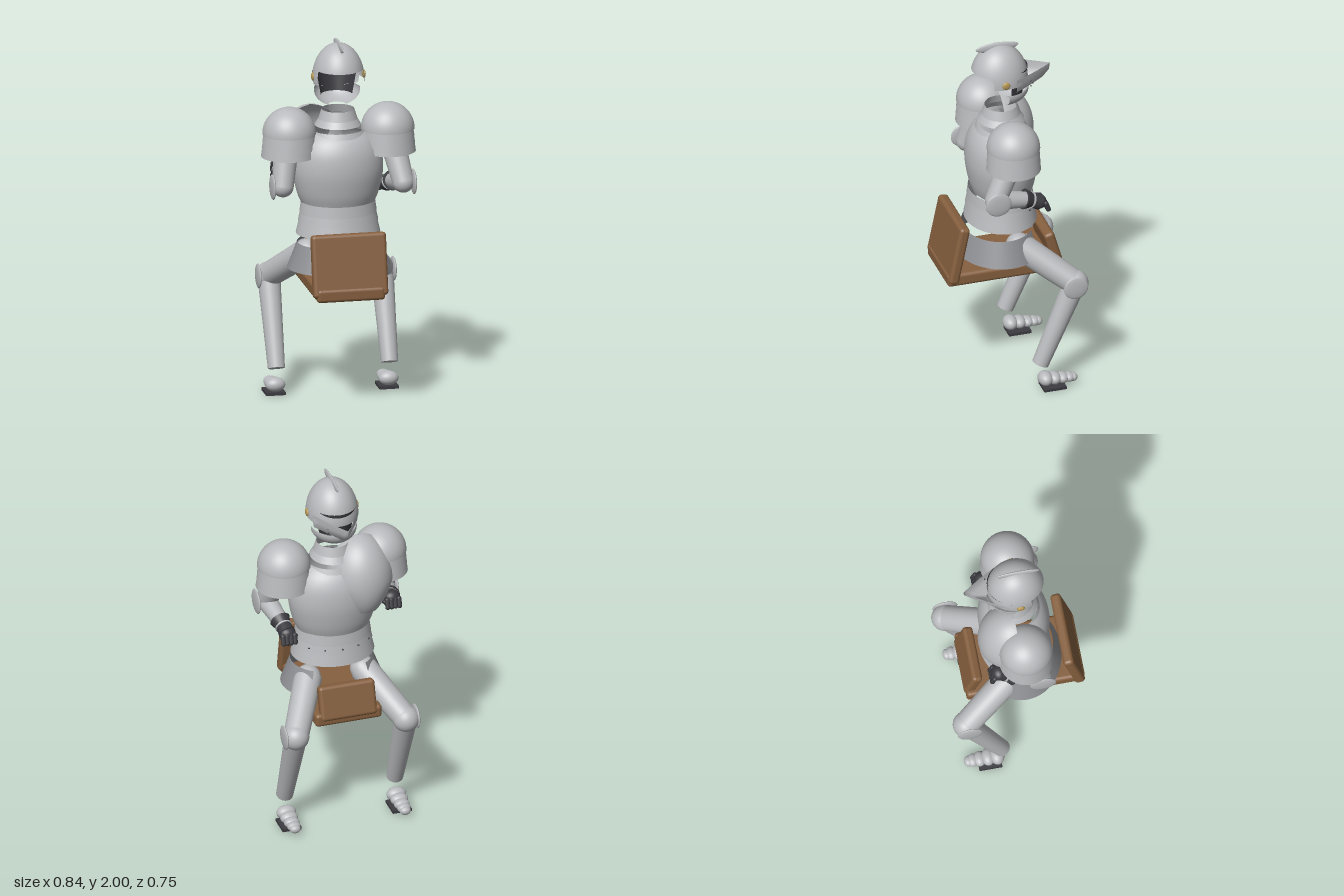
import * as THREE from 'three';
import { RoundedBoxGeometry } from 'three/addons/geometries/RoundedBoxGeometry.js';

const D = THREE.DoubleSide;
const mat = (name, color, side = THREE.FrontSide) => {
  const m = new THREE.MeshStandardMaterial({ color, side });
  m.name = name;
  return m;
};
const V = (x, y, z) => new THREE.Vector3(x, y, z);

export function createModel() {
  const root = new THREE.Group();
  root.name = 'seatedArmour';
  const steel = mat('steel', 0xb9babd, D);
  const dullSteel = mat('dullSteel', 0x8f9094, D);
  const dark = mat('darkIron', 0x3c3c41, D);
  const leather = mat('brownLeather', 0x86603f);
  const brass = mat('brass', 0xb89a58);

  const add = (name, geo, m, x = 0, y = 0, z = 0, parent = root) => {
    const mesh = new THREE.Mesh(geo, m);
    mesh.name = name;
    mesh.position.set(x, y, z);
    parent.add(mesh);
    return mesh;
  };
  const ball = (name, m, x, y, z, rx, ry = rx, rz = rx) =>
    add(name, new THREE.SphereGeometry(1, 32, 20).scale(rx, ry, rz), m, x, y, z);
  // Tapered limb between two points
  const limb = (name, a, b, ra, rb, m) => {
    const mesh = add(name, new THREE.CylinderGeometry(rb, ra, a.distanceTo(b), 32), m);
    mesh.position.copy(a).add(b).multiplyScalar(0.5);
    mesh.quaternion.setFromUnitVectors(V(0, 1, 0), b.clone().sub(a).normalize());
    return mesh;
  };
  // Open oval band; profile is a list of [radius, y], depth scales z
  const band = (name, profile, depth, z, m = steel, x = 0, start = 0, sweep = Math.PI * 2) =>
    add(name, new THREE.LatheGeometry(profile.map(p => new THREE.Vector2(...p)), 56, start, sweep)
      .scale(1, 1, depth), m, x, 0, z);

  // Helmet: crown, rear skirt open at the face, crest and pivots
  const crown = 1.26, gap = 1.15;
  add('helmetCrown', new THREE.SphereGeometry(1, 48, 20, 0, Math.PI * 2, 0, crown)
    .scale(0.14, 0.197, 0.157), steel, 0, 1.787, 0.032);
  add('helmetRear', new THREE.SphereGeometry(1, 48, 8, -Math.PI / 2 + gap, Math.PI * 2 - 2 * gap, crown, 1.61 - crown)
    .scale(0.14, 0.197, 0.157).rotateY(Math.PI), steel, 0, 1.787, 0.032)
    .geometry.rotateY(0);
  ball('helmetCrest', steel, 0, 1.972, 0.042, 0.01, 0.028, 0.12);
  for (const s of [-1, 1]) ball('visorPivot', brass, s * 0.14, 1.806, 0.034, 0.009, 0.022, 0.022);

  // Dark lining behind the eye slot
  add('faceLining', new THREE.CylinderGeometry(0.115, 0.085, 0.165, 32, 1, true, Math.PI / 2, Math.PI), dark, 0, 1.768, -0.01);

  // Pointed visor built from cross-sections [y, half width, tip z]
  const rows = [[1.822, 0.13, -0.255], [1.785, 0.128, -0.25], [1.745, 0.122, -0.215], [1.7, 0.105, -0.13]];
  const n = 24, pos = [], idx = [];
  rows.forEach(([y, w, tip], r) => {
    for (let i = 0; i <= n; i++) {
      const t = i / n * 2 - 1, a = Math.abs(t);
      pos.push(t * w, y + (r === 3 ? a * 0.035 : 0), tip + (-0.03 - tip) * (0.85 * a + 0.15 * a * a));
      if (r && i) {
        const k = r * (n + 1) + i;
        idx.push(k, k - 1, k - n - 2, k, k - n - 2, k - n - 1);
      }
    }
  });
  const visor = new THREE.BufferGeometry();
  visor.setAttribute('position', new THREE.Float32BufferAttribute(pos, 3));
  visor.setIndex(idx);
  visor.computeVertexNormals();
  add('visor', visor, steel);
  for (let i = 0; i < 3; i++) ball('breathHole', dark, 0.073, 1.775 - i * 0.016, -0.125 - (i % 2) * 0.012, 0.004);

  // Chin guard: lower front bowl
  add('chinGuard', new THREE.SphereGeometry(1, 40, 16, 0, Math.PI, 1.45, 1.3)
    .rotateY(Math.PI).scale(0.125, 0.088, 0.14), steel, 0, 1.718, 0.01);

  // Gorget rings
  band('gorgetTop', [[0.105, 1.565], [0.088, 1.617]], 1, 0.02);
  band('gorgetMiddle', [[0.125, 1.53], [0.1, 1.57]], 1, 0.02);
  band('gorgetBase', [[0.155, 1.475], [0.14, 1.505]], 0.9, 0.02);

  // Cuirass and waist lames
  const cuirass = new THREE.SplineCurve([[0.2, 1.105], [0.225, 1.17], [0.245, 1.28], [0.235, 1.38], [0.2, 1.45], [0.15, 1.495]]
    .map(p => new THREE.Vector2(...p))).getPoints(24).map(p => [p.x, p.y]);
  band('cuirass', cuirass, 0.78, 0.02);
  [[1.112, 1.05, 0.2, 0.209], [1.055, 1, 0.205, 0.217], [1.005, 0.935, 0.211, 0.228]].forEach(([t, b, rt, rb]) =>
    band('waistLame', [[rb, b], [rt, t]], 0.85, 0.025));
  for (let i = -2; i <= 2; i++) {
    const a = i * 0.45;
    ball('rivet', dark, 0.215 * Math.sin(a), 1.03, 0.025 - 0.183 * Math.cos(a), 0.005);
  }

  // Hip skirt, open at the front
  band('hipSkirt', [[0.278, 0.75], [0.225, 0.89]], 0.84, 0.042, dullSteel, 0, Math.PI + 0.7, Math.PI * 2 - 1.4);

  // Large chest guard on one side
  const guard = new THREE.SphereGeometry(1, 40, 32, 0, Math.PI, 0.08, 2.2).rotateY(Math.PI);
  const gp = guard.attributes.position;
  for (let i = 0; i < gp.count; i++) {
    // narrow the lower part into a shield outline
    const y = gp.getY(i);
    if (y < 0) gp.setX(i, gp.getX(i) * (1 + 0.35 * y));
  }
  guard.scale(0.185, 0.25, 0.2);
  guard.computeVertexNormals();
  add('chestGuard', guard, steel, -0.14, 1.39, 0);

  // Arms; each side has its own pose
  const arms = [
    [1, V(0.33, 1.225, 0.155), V(0.305, 1.185, -0.025), V(0.295, 1.155, -0.1)],
    [-1, V(-0.32, 1.225, 0.11), V(-0.3, 1.25, -0.05), V(-0.287, 1.285, -0.115)],
  ];
  for (const [s, elbow, wrist, hand] of arms) {
    const x = s * 0.27;
    add('shoulderDome', new THREE.SphereGeometry(0.144, 40, 20, 0, Math.PI * 2, 0, Math.PI / 2), steel, x, 1.497, 0.036);
    for (let i = 0; i < 3; i++) {
      const y = 1.5 - i * 0.042;
      band('shoulderLame', [[0.143 + i * 0.002, y - 0.042], [0.137 + i * 0.002, y]], 1, 0.036, steel, x + s * i * 0.002);
    }
    limb('upperArm', V(s * 0.285, 1.46, 0.04), elbow, 0.07, 0.058, steel);
    ball('elbow', steel, elbow.x, elbow.y, elbow.z, 0.058);
    ball('elbowDisc', steel, elbow.x + s * 0.056, elbow.y, elbow.z, 0.012, 0.068, 0.072);
    limb('forearm', elbow, wrist, 0.056, 0.042, steel);
    const dir = hand.clone().sub(wrist).normalize();
    limb('gauntletCuff', wrist.clone().addScaledVector(dir, -0.015), wrist.clone().addScaledVector(dir, 0.03), 0.056, 0.04, dark);
    limb('wristRing', wrist.clone().addScaledVector(dir, 0.027), wrist.clone().addScaledVector(dir, 0.036), 0.046, 0.046, steel);
    limb('gauntletBack', wrist.clone().addScaledVector(dir, 0.03), hand, 0.04, 0.046, dark);
    ball('knuckles', dark, hand.x, hand.y, hand.z, 0.046, 0.038, 0.04);
    // Curled fingers
    for (let i = 0; i < 4; i++) {
      const finger = add('finger', new THREE.CapsuleGeometry(0.014, 0.04, 4, 12), dark,
        hand.x - 0.033 + i * 0.022, hand.y - 0.02, hand.z - 0.035);
      finger.rotation.x = 0.35;
    }
    limb('thumb', hand, V(hand.x - s * 0.05, hand.y - 0.02, hand.z - 0.02), 0.018, 0.013, dark);
  }

  // Legs, feet and stirrup plates
  for (const s of [-1, 1]) {
    const hip = V(s * 0.155, 0.815, -0.03), knee = V(s * 0.31, 0.622, -0.298), ankle = V(s * 0.31, 0.155, -0.103);
    ball('hipJoint', steel, hip.x, hip.y, hip.z, 0.07);
    limb('thigh', hip, knee, 0.076, 0.068, steel);
    ball('knee', steel, knee.x, knee.y, knee.z, 0.072);
    ball('kneeDisc', steel, s * 0.37, 0.622, -0.285, 0.012, 0.066, 0.068);
    limb('shin', knee, ankle, 0.062, 0.046, steel);
    [[-0.13, 0.054, 0.039, 0.04], [-0.18, 0.049, 0.034, 0.036], [-0.225, 0.043, 0.029, 0.033], [-0.262, 0.037, 0.026, 0.03], [-0.286, 0.03, 0.023, 0.024]]
      .forEach(([z, rx, ry, rz]) => ball('footLame', steel, s * 0.31, 0.018 + ry, z, rx, ry, rz));
    add('stirrupPlate', new THREE.BoxGeometry(0.106, 0.016, 0.125), dark, s * 0.31, 0.008, -0.172);
  }

  // Saddle
  add('saddleSeat', new RoundedBoxGeometry(0.374, 0.075, 0.645, 4, 0.02), leather, 0, 0.673, 0.053);
  const back = add('saddleBack', new RoundedBoxGeometry(0.41, 0.34, 0.058, 4, 0.02), leather, 0, 0.825, 0.314);
  back.rotation.x = -0.2;
  const pommel = add('saddlePommel', new RoundedBoxGeometry(0.316, 0.195, 0.058, 4, 0.02), leather, 0, 0.758, -0.228);
  pommel.rotation.x = 0.28;
  return root;
}
